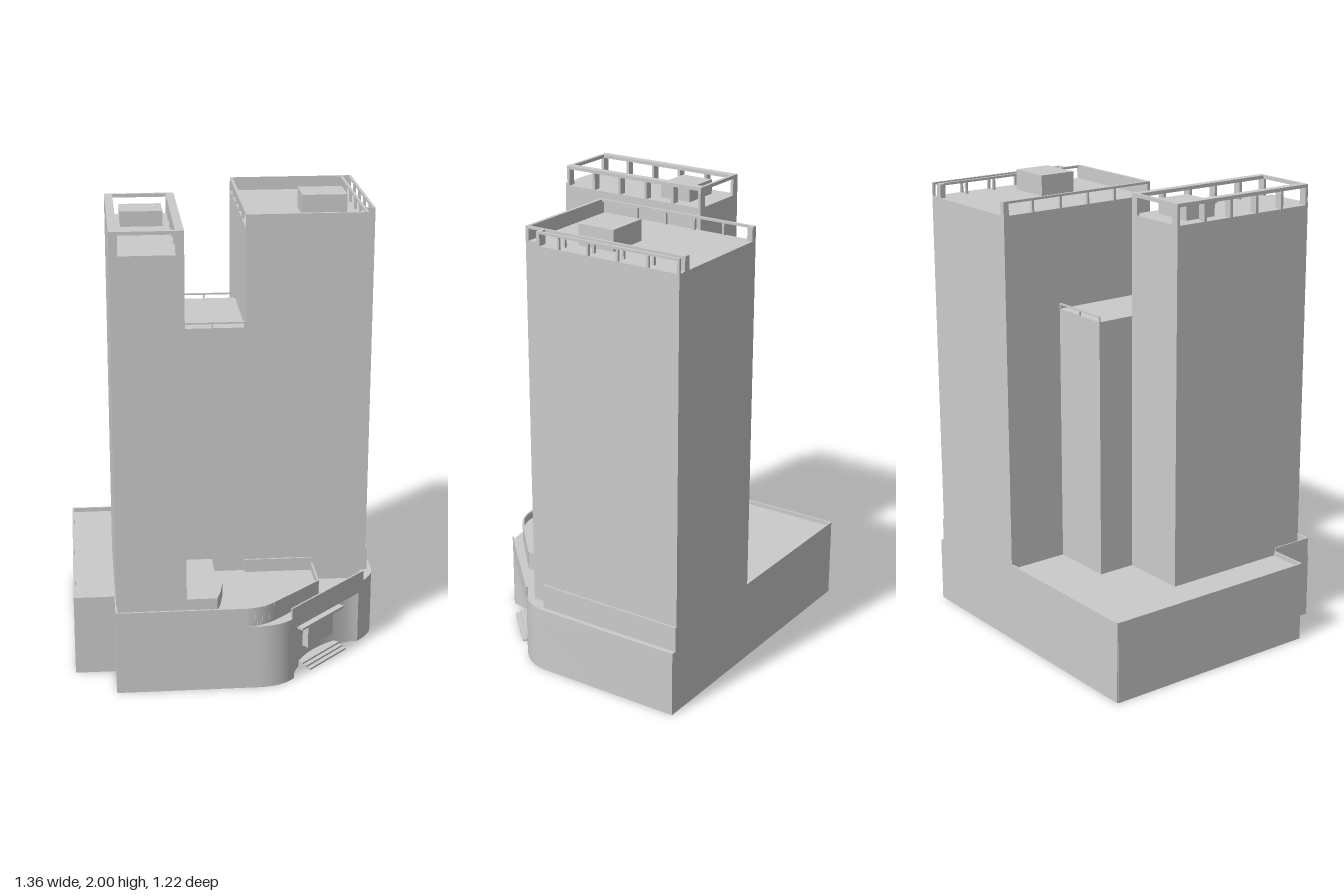
import * as THREE from 'three';
import { toCreasedNormals } from 'three/addons/utils/BufferGeometryUtils.js';

const mat = new THREE.MeshStandardMaterial({ color: 0xcccccc });
const matDouble = new THREE.MeshStandardMaterial({ color: 0xcccccc, side: THREE.DoubleSide });

// Box given by its limits on each axis
function box(parent, name, x0, x1, y0, y1, z0, z1) {
  const m = new THREE.Mesh(new THREE.BoxGeometry(x1 - x0, y1 - y0, z1 - z0), mat);
  m.position.set((x0 + x1) / 2, (y0 + y1) / 2, (z0 + z1) / 2);
  m.name = name;
  parent.add(m);
  return m;
}

// Vertical prism over a plan outline of [x, z] points
function prism(parent, name, pts, y0, y1) {
  const shape = new THREE.Shape(pts.map(([x, z]) => new THREE.Vector2(x, -z)));
  let geo = new THREE.ExtrudeGeometry(shape, { depth: y1 - y0, bevelEnabled: false });
  geo.rotateX(-Math.PI / 2);
  geo = toCreasedNormals(geo, 0.5);
  const m = new THREE.Mesh(geo, mat);
  m.position.y = y0;
  m.name = name;
  parent.add(m);
}

// Thin wall following a plan path of [x, z] points
function wall(parent, name, pts, y0, y1, t = 0.008) {
  const g = new THREE.Group();
  g.name = name;
  for (let i = 0; i + 1 < pts.length; i++) {
    const [ax, az] = pts[i], [bx, bz] = pts[i + 1];
    const m = new THREE.Mesh(new THREE.BoxGeometry(Math.hypot(bx - ax, bz - az), y1 - y0, t), matDouble);
    m.position.set((ax + bx) / 2, (y0 + y1) / 2, (az + bz) / 2);
    m.rotation.y = -Math.atan2(bz - az, bx - ax);
    m.name = name + 'Panel';
    g.add(m);
  }
  parent.add(g);
}

// Points of a rounded corner from a to b with its control point c
function bend(a, c, b, n = 12) {
  const v = (p) => new THREE.Vector2(p[0], p[1]);
  return new THREE.QuadraticBezierCurve(v(a), v(c), v(b)).getPoints(n).map((p) => [p.x, p.y]);
}

function podium() {
  const g = new THREE.Group();
  g.name = 'podium';
  const cornerRight = bend([0.675, 0.05], [0.675, 0.13], [0.61, 0.195]);
  const cornerFront = bend([0.25, 0.555], [0.195, 0.61], [0.1, 0.61]);
  const back = [[-0.505, -0.61], [0.675, -0.61]];
  const left = [[-0.505, 0.61]];

  // Ground storey with a curved entrance recess in the slanted side
  const recess = [];
  for (let i = 0; i <= 20; i++) {
    const t = i / 20, d = 0.075 * Math.pow(Math.sin(Math.PI * t), 0.7);
    recess.push([0.595 - 0.33 * t - d * 0.707, 0.21 + 0.33 * t - d * 0.707]);
  }
  prism(g, 'groundStorey', [...back, ...cornerRight, ...recess, ...cornerFront, ...left], 0, 0.24);
  prism(g, 'ledgeSlab', [...back, ...cornerRight, ...cornerFront, ...left], 0.24, 0.29);

  // Entrance: door block and steps on the slanted side
  const entrance = new THREE.Group();
  entrance.name = 'entrance';
  entrance.position.set(0.43, 0, 0.375);
  entrance.rotation.y = Math.PI / 4;
  box(entrance, 'doorBlock', -0.09, 0.09, 0.08, 0.19, -0.08, -0.035);
  box(entrance, 'doorCanopy', -0.15, 0.15, 0.19, 0.2, -0.08, -0.02);
  for (let i = 0; i < 3; i++) box(entrance, 'step', -0.13, 0.13, 0, 0.008 * (i + 1), -0.08, 0.01 - 0.02 * i);
  g.add(entrance);
  wall(g, 'slantedParapet', [[0.615, 0.19], [0.25, 0.552]], 0.29, 0.34);

  // Upper terrace and its parapet
  const terraceEdge = [[0.39, 0.35], ...bend([0.17, 0.555], [0.11, 0.606], [0.04, 0.606])];
  prism(g, 'terrace', [[-0.505, -0.61], [0.39, -0.61], ...terraceEdge, [-0.505, 0.606]], 0.29, 0.34);
  wall(g, 'terraceParapet', [[0.386, 0.15], ...terraceEdge, [-0.501, 0.606], [-0.501, 0.41]], 0.29, 0.375);

  // Side wing, open underneath
  wall(g, 'wingWalls', [[-0.505, 0.406], [-0.676, 0.406], [-0.676, -0.606], [-0.505, -0.606]], 0, 0.36);
  wall(g, 'backParapet', [[-0.505, -0.606], [0.085, -0.606]], 0.33, 0.36);
  box(g, 'wingRoof', -0.676, -0.505, 0.33, 0.34, -0.606, 0.406);

  // Raised planter on the terrace
  prism(g, 'planter', [[-0.2, 0.14], [-0.06, 0.14], [-0.06, 0.29], [-0.032, 0.33], [-0.036, 0.4],
    [-0.05, 0.48], [-0.07, 0.55], [-0.2, 0.55]], 0.34, 0.4);
  return g;
}

function slimTower() {
  const g = new THREE.Group();
  g.name = 'slimTower';
  box(g, 'slimTowerBody', -0.5, -0.2, 0.34, 1.91, -0.165, 0.545);
  box(g, 'frontBay', -0.465, -0.235, 0.34, 1.91, 0.545, 0.58);
  box(g, 'roofHut', -0.44, -0.26, 1.91, 1.975, -0.07, 0.08);
  // Open roof frame with fin posts
  for (const x of [-0.5, -0.235]) {
    box(g, 'sideBeam', x, x + 0.035, 1.985, 2, -0.165, 0.545);
    for (let i = 0; i < 6; i++) {
      const z = -0.165 + i * 0.1394;
      box(g, 'finPost', x, x + 0.035, 1.91, 1.985, z, z + 0.013);
    }
  }
  for (const z of [-0.165, 0.53]) box(g, 'endBeam', -0.465, -0.235, 1.985, 2, z, z + 0.015);
  return g;
}

function linkBlock() {
  const g = new THREE.Group();
  g.name = 'linkBlock';
  box(g, 'linkBody', -0.2, 0.085, 0.34, 1.475, -0.335, 0.14);
  // Slender roof railings at both ends
  for (const z of [-0.335, 0.134]) {
    box(g, 'rail', -0.2, 0.085, 1.493, 1.5, z, z + 0.006);
    for (const x of [-0.2, -0.06, 0.079]) box(g, 'railPost', x, x + 0.006, 1.475, 1.493, z, z + 0.006);
  }
  return g;
}

function wideTower() {
  const g = new THREE.Group();
  g.name = 'wideTower';
  box(g, 'wideTowerBody', 0.085, 0.605, 0.29, 1.91, -0.61, 0.155);
  box(g, 'sideBay', 0.605, 0.645, 0.29, 1.91, -0.61, 0.07);
  box(g, 'roofHut', 0.35, 0.545, 1.91, 2, -0.235, -0.065);
  // Base band
  box(g, 'baseBandFront', 0.085, 0.39, 0.29, 0.4, 0.15, 0.163);
  box(g, 'baseBandSide', 0.64, 0.653, 0.29, 0.4, -0.61, 0.07);
  // Roof edge: front parapet, side beams on posts, rear screen
  box(g, 'frontParapet', 0.085, 0.605, 1.91, 1.97, 0.14, 0.155);
  for (const [x, w] of [[0.085, 0.012], [0.593, 0.012], [0.633, 0.012]]) {
    box(g, 'sideBeam', x, x + w, 1.96, 1.97, -0.61, x > 0.61 ? 0.07 : 0.155);
    for (let i = 0; i < 5; i++) {
      const z = -0.61 + i * 0.142;
      box(g, 'beamPost', x, x + w, 1.91, 1.96, z, z + 0.01);
    }
  }
  box(g, 'bayFrontParapet', 0.605, 0.645, 1.91, 1.97, 0.055, 0.07);
  for (const x of [0.085, 0.575]) box(g, 'rearCornerPost', x, x + 0.025, 1.91, 1.97, -0.61, -0.585);
  const screen = new THREE.Mesh(new THREE.PlaneGeometry(0.56, 0.06), mat);
  screen.position.set(0.365, 1.94, -0.605);
  screen.name = 'rearScreen';
  g.add(screen);
  return g;
}

export function createModel() {
  const model = new THREE.Group();
  model.name = 'twinTowerBuilding';
  model.add(podium(), slimTower(), linkBlock(), wideTower());
  return model;
}
